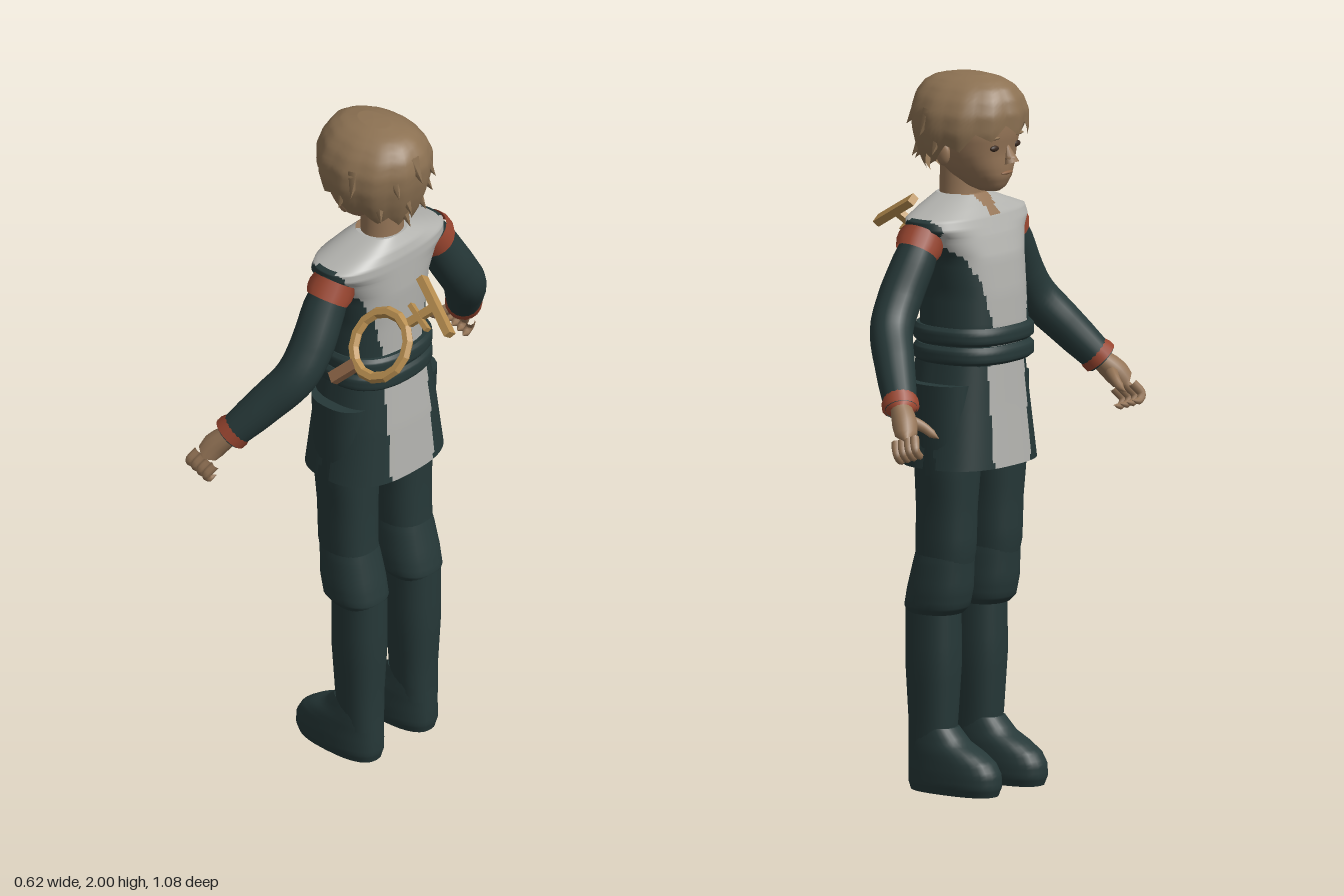
import * as THREE from 'three';

const mat = (name, color, side = THREE.FrontSide) => {
  const m = new THREE.MeshStandardMaterial({ color, side });
  m.name = name;
  return m;
};
const { lerp } = THREE.MathUtils;

// Closed-around grid of points; pick(centre) gives a material index, or -1 for a gap
function grid(rows, cols, point, pick = () => 0) {
  const pos = [], buckets = [[], [], []], c = new THREE.Vector3();
  for (let i = 0; i < rows; i++) for (let j = 0; j < cols; j++) pos.push(...point(i, (j / cols) * Math.PI * 2));
  for (let i = 0; i < rows - 1; i++) for (let j = 0; j < cols; j++) {
    const k = (j + 1) % cols, a = i * cols + j, b = i * cols + k, d = a + cols, e = b + cols;
    c.set(0, 0, 0);
    for (const q of [a, b, d, e]) c.add(new THREE.Vector3().fromArray(pos, q * 3));
    const m = pick(c.multiplyScalar(0.25));
    if (m >= 0) buckets[m].push(a, d, b, b, d, e);
  }
  const g = new THREE.BufferGeometry();
  g.setAttribute('position', new THREE.Float32BufferAttribute(pos, 3));
  g.setIndex(buckets.flat());
  let start = 0;
  buckets.forEach((b, i) => { if (b.length) g.addGroup(start, b.length, i); start += b.length; });
  g.computeVertexNormals();
  return g;
}

// Rings from the bottom up: [y, front x, back x, half width in z]
function loft(rings, { cz = 0, cols = 28, sub = 3, power = 2.4, caps = true, pick } = {}) {
  const rows = [];
  rings.forEach((r, i) => {
    if (i) for (let k = 1; k <= sub; k++) rows.push(r.map((v, n) => lerp(rings[i - 1][n], v, k / sub)));
    else rows.push(r);
  });
  if (caps) {
    const flat = r => [r[0], (r[1] + r[2]) / 2, (r[1] + r[2]) / 2, 0];
    const a = rows[0], b = rows[rows.length - 1];
    rows.unshift(flat(a), a);
    rows.push(b, flat(b));
  }
  const round = v => Math.sign(v) * Math.abs(v) ** (2 / power);
  return grid(rows.length, cols, (i, a) => {
    const [y, x0, x1, rz] = rows[i];
    return [(x0 + x1) / 2 + round(Math.cos(a)) * (x1 - x0) / 2, y, cz + round(Math.sin(a)) * rz];
  }, pick);
}

// Tube through points with radii spread along its length
function taper(points, radii, sides = 14, n = 20) {
  const curve = new THREE.CatmullRomCurve3(points.map(p => new THREE.Vector3(...p)));
  const g = new THREE.TubeGeometry(curve, n, 1, sides), p = g.attributes.position, v = new THREE.Vector3();
  for (let i = 0; i < p.count; i++) {
    const t = Math.floor(i / (sides + 1)) / n, f = t * (radii.length - 1), k = Math.min(Math.floor(f), radii.length - 2);
    const c = curve.getPointAt(t), r = lerp(radii[k], radii[k + 1], f - k);
    v.fromBufferAttribute(p, i).sub(c).multiplyScalar(r).add(c);
    p.setXYZ(i, v.x, v.y, v.z);
  }
  return g;
}

// Linear lookup in an ascending table keyed by the first column
function lookup(table, y) {
  let i = 1;
  while (i < table.length - 1 && table[i][0] < y) i++;
  const a = table[i - 1], b = table[i], t = THREE.MathUtils.clamp((y - a[0]) / (b[0] - a[0]), 0, 1);
  return a.map((v, n) => lerp(v, b[n], t));
}

export function createModel() {
  const root = new THREE.Group();
  const teal = mat('dark teal cloth', 0x263838, THREE.DoubleSide);
  const white = mat('pale cloth', 0xb2b2ae, THREE.DoubleSide);
  const red = mat('red trim', 0x9a4630, THREE.DoubleSide);
  const skin = mat('skin', 0x957557);
  const hair = mat('hair', 0x8d7253, THREE.DoubleSide);
  const gold = mat('gold', 0xb88e50);
  const wood = mat('wood', 0x8e6648);
  const dark = mat('dark brown', 0x3a2a20);
  const add = (name, geo, m, parent = root) => {
    const mesh = new THREE.Mesh(geo, m);
    mesh.name = name;
    parent.add(mesh);
    return mesh;
  };
  const ball = (name, m, p, s) => {
    const b = add(name, new THREE.SphereGeometry(1, 16, 12), m);
    b.position.set(...p);
    b.scale.set(...s);
    return b;
  };

  // Tunic top: pale yoke tapering to a centre panel, with a small open neck
  const panel = [[1.2, 0.078], [1.32, 0.08], [1.42, 0.1], [1.5, 0.132], [1.545, 0.185], [1.6, 0.2], [1.66, 0.24]];
  add('tunicTop', loft([
    [1.2, -0.225, 0.04, 0.15], [1.3, -0.235, 0.03, 0.153], [1.4, -0.23, 0.033, 0.148], [1.5, -0.217, 0.038, 0.157],
    [1.56, -0.197, 0.036, 0.19], [1.585, -0.186, 0.035, 0.222], [1.61, -0.175, 0.033, 0.22],
    [1.635, -0.155, 0.025, 0.15], [1.665, -0.125, 0.005, 0.07],
  ], { cols: 96, sub: 5, power: 2.5, pick: c => {
    if (c.x < -0.08 && Math.abs(c.z) < (c.y - 1.58) * 0.4) return 2;
    return Math.abs(c.z) < lookup(panel, c.y)[1] ? 1 : 0;
  } }), [teal, white, skin]);

  // Skirt with a centre panel and side slits
  add('tunicSkirt', loft([
    [0.915, -0.24, 0.065, 0.2], [1.08, -0.228, 0.055, 0.175], [1.24, -0.218, 0.04, 0.148],
  ], { cols: 120, sub: 10, power: 2.6, caps: false, pick: c => {
    if (Math.abs(c.z) > 0.1 && Math.abs(c.x + 0.09) < (1.15 - c.y) * 0.09) return -1;
    return Math.abs(c.z) < 0.085 ? 1 : 0;
  } }), [teal, white]);

  // Two-strand belt
  for (const y of [1.205, 1.258]) add('belt', loft([
    [y, -0.238, 0.042, 0.156], [y + 0.01, -0.25, 0.05, 0.166], [y + 0.038, -0.25, 0.05, 0.166], [y + 0.05, -0.238, 0.042, 0.156],
  ], { cols: 48, power: 2.5 }), teal);

  for (const s of [1, -1]) {
    // Leg, knee cuff, boot and shoe
    const cz = s * 0.107;
    add('trouserLeg', loft([
      [0.55, -0.14, 0.01, 0.066], [0.68, -0.168, 0.0, 0.073], [0.8, -0.172, -0.002, 0.074], [0.92, -0.18, 0.0, 0.084], [1.15, -0.185, 0.01, 0.09],
    ], { cz }), teal);
    add('kneeCuff', loft([
      [0.5, -0.125, 0.03, 0.068], [0.52, -0.145, 0.036, 0.08], [0.57, -0.156, 0.026, 0.081], [0.64, -0.16, 0.008, 0.076], [0.68, -0.164, -0.002, 0.07],
    ], { cz }), teal);
    add('bootShaft', loft([
      [0.1, -0.1, 0.028, 0.056], [0.2, -0.11, 0.028, 0.059], [0.36, -0.12, 0.036, 0.068], [0.52, -0.118, 0.035, 0.067],
    ], { cz }), teal);
    add('shoe', loft([
      [0, -0.252, 0.024, 0.06], [0.025, -0.262, 0.031, 0.068], [0.06, -0.26, 0.031, 0.068], [0.09, -0.242, 0.03, 0.066],
      [0.115, -0.205, 0.029, 0.064], [0.14, -0.155, 0.028, 0.06], [0.18, -0.115, 0.026, 0.054],
    ], { cz, power: 2.5 }), teal);

    // Sleeve with shoulder band and cuff
    const P = list => list.map(([x, y, z]) => [x, y, z * s]);
    add('sleeve', taper(P([[-0.065, 1.575, 0.175], [-0.062, 1.5, 0.225], [-0.055, 1.4, 0.285], [-0.065, 1.325, 0.335],
      [-0.12, 1.24, 0.395], [-0.195, 1.135, 0.468]]), [0.05, 0.06, 0.062, 0.061, 0.058, 0.053, 0.045], 18, 30), teal);
    add('shoulderBand', taper(P([[-0.063, 1.57, 0.183], [-0.062, 1.522, 0.216]]), [0.06, 0.066, 0.066, 0.06], 18, 6), red);
    add('cuff', taper(P([[-0.176, 1.163, 0.45], [-0.2, 1.127, 0.474]]), [0.046, 0.052, 0.052, 0], 18, 9), red);

    // Hand with curled fingers
    add('palm', taper(P([[-0.195, 1.135, 0.468], [-0.225, 1.1, 0.492], [-0.25, 1.055, 0.517]]), [0.03, 0.034, 0.036, 0.032, 0], 12, 12), skin);
    for (let i = 0; i < 4; i++) {
      const x = -0.282 + i * 0.021, y = 1.06 - i * 0.007;
      add('finger', taper(P([[x + 0.012, y + 0.012, 0.508], [x - 0.006, y - 0.02, 0.527], [x - 0.008, y - 0.037, 0.513], [x, y - 0.033, 0.49]]),
        [0.013, 0.0135, 0.012, 0.011, 0], 8, 12), skin);
    }
    add('thumb', taper(P([[-0.22, 1.11, 0.475], [-0.255, 1.09, 0.448], [-0.282, 1.07, 0.438], [-0.302, 1.06, 0.436]]),
      [0.02, 0.017, 0.014, 0.012, 0], 8, 12), skin);

    // Ear, eye and brow
    ball('ear', skin, [-0.085, 1.79, s * 0.122], [0.022, 0.034, 0.014]);
    ball('eye', dark, [-0.208, 1.806, s * 0.05], [0.008, 0.009, 0.018]);
    ball('brow', hair, [-0.212, 1.835, s * 0.052], [0.008, 0.005, 0.026]);
  }

  // Neck, face, nose and mouth
  add('neck', loft([[1.6, -0.125, 0.005, 0.07], [1.66, -0.115, 0.0, 0.064], [1.76, -0.115, 0.0, 0.06]], { power: 2 }), skin);
  add('face', loft([
    [1.678, -0.185, -0.12, 0.025], [1.69, -0.2, -0.09, 0.045], [1.72, -0.214, -0.04, 0.072], [1.75, -0.216, -0.01, 0.094],
    [1.79, -0.216, 0.015, 0.114], [1.84, -0.224, 0.03, 0.126], [1.9, -0.225, 0.035, 0.125], [1.95, -0.2, 0.02, 0.09],
  ], { power: 2.2 }), skin);
  const nose = add('nose', new THREE.ConeGeometry(0.021, 0.062, 8), skin);
  nose.position.set(-0.222, 1.79, 0);
  nose.rotation.z = -0.3;
  ball('noseTip', skin, [-0.228, 1.773, 0], [0.017, 0.012, 0.016]);
  ball('mouth', wood, [-0.214, 1.732, 0], [0.007, 0.005, 0.026]);

  // Hair shell with a pointed hem, higher over the face
  const shape = [[1.7, -0.16, 0.02, 0.07], [1.75, -0.205, 0.045, 0.115], [1.8, -0.232, 0.062, 0.14], [1.85, -0.246, 0.074, 0.152],
    [1.9, -0.25, 0.079, 0.148], [1.94, -0.24, 0.07, 0.128], [1.97, -0.22, 0.05, 0.1], [1.988, -0.19, 0.02, 0.07], [2, -0.14, -0.04, 0.03], [2.001, -0.09, -0.09, 0]];
  const wave = a => Math.abs(((a * 11) / (Math.PI * 2)) % 1 - 0.5) * 2;
  const hairPoint = (y, a, grow = 1) => {
    const [, x0, x1, rz] = lookup(shape, y);
    return [(x0 + x1) / 2 + Math.cos(a) * grow * (x1 - x0) / 2, y, Math.sin(a) * grow * rz];
  };
  add('hair', grid(25, 88, (i, a) => {
    const t = i / 24, front = (1 - Math.cos(a)) / 2;
    const hem = 1.715 + 0.125 * front ** 1.1 + 0.035 * wave(a);
    return hairPoint(i === 24 ? 2.001 : lerp(hem, 2, Math.sin(t * Math.PI / 2)), a, 1 + 0.05 * (1 - t) * wave(a + 0.28));
  }), hair);

  // Swept tufts around the sides and back
  for (const [a, y] of [[0, 1.9], [0.45, 1.87], [-0.5, 1.88], [0.15, 1.8], [-0.35, 1.78], [0.75, 1.79], [-0.8, 1.8],
    [1.25, 1.87], [-1.25, 1.87], [1.5, 1.82], [-1.5, 1.82], [0.1, 1.75]]) {
    const tuft = add('hairTuft', new THREE.ConeGeometry(0.026, 0.075, 6), hair);
    tuft.position.set(...hairPoint(y, a, 0.97));
    tuft.quaternion.setFromUnitVectors(new THREE.Vector3(0, 1, 0),
      new THREE.Vector3(Math.cos(a) * 0.6, -0.8, Math.sin(a) * 0.45).normalize());
  }

  // Ring-hilted tool slung at the back, leaning toward the spine
  const tool = new THREE.Group();
  tool.name = 'ringTool';
  tool.position.set(0.107, 1.43, 0.178);
  tool.rotation.x = -0.61;
  root.add(tool);
  const ring = add('ring', new THREE.TorusGeometry(0.09, 0.016, 6, 14).toNonIndexed(), gold, tool);
  ring.geometry.computeVertexNormals();
  ring.scale.y = 1.04;
  const bar = (name, m, x, y, w, h, d, turn) => {
    const b = add(name, new THREE.BoxGeometry(w, h, d), m, tool);
    b.position.set(x, y, 0);
    b.rotation.z = turn;
  };
  bar('handle', wood, -0.078, -0.112, 0.032, 0.085, 0.028, -0.69);
  bar('stem', gold, 0.088, 0.125, 0.024, 0.09, 0.018, -0.69);
  bar('crossGuard', gold, 0.083, 0.117, 0.095, 0.014, 0.02, -0.45);
  bar('headPlate', gold, 0.12, 0.165, 0.195, 0.022, 0.03, -0.57);

  return root;
}
